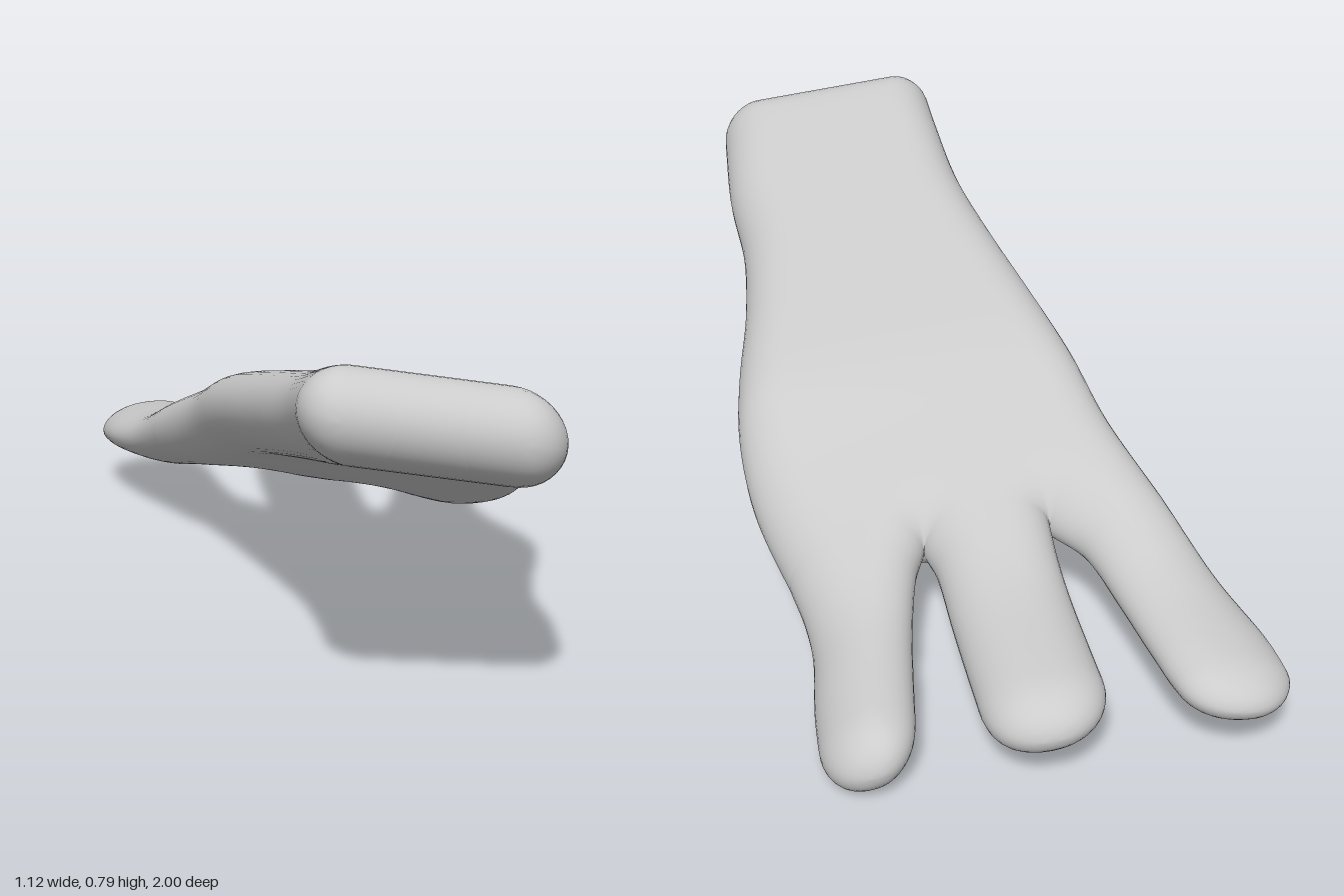
import * as THREE from 'three';
import { mergeVertices } from 'three/addons/utils/BufferGeometryUtils.js';

const WEB = -0.4;    // z of the webs between the fingers
const FRONT = 1;     // z of the wrist end
const COLS = 18;     // columns per finger
const ROUND = 0.115; // width of the rounded rim

// Smooth curve through [z, value] points, read at z
function curve(points) {
  const n = points.length;
  const slope = points.map((p, i) => {
    const a = points[Math.max(i - 1, 0)], b = points[Math.min(i + 1, n - 1)];
    return (b[1] - a[1]) / (b[0] - a[0]);
  });
  return (z) => {
    if (z <= points[0][0]) return points[0][1];
    if (z >= points[n - 1][0]) return points[n - 1][1];
    let i = 0;
    while (z > points[i + 1][0]) i++;
    const [z0, v0] = points[i], [z1, v1] = points[i + 1];
    const h = z1 - z0, t = (z - z0) / h, t2 = t * t, t3 = t2 * t;
    return v0 * (2 * t3 - 3 * t2 + 1) + slope[i] * h * (t3 - 2 * t2 + t)
      + v1 * (3 * t2 - 2 * t3) + slope[i + 1] * h * (t3 - t2);
  };
}

// 0..1 in steps that crowd towards both ends
const eased = (i, n) => (1 - Math.cos((Math.PI * i) / n)) / 2;
const clamp01 = (v) => Math.min(1, Math.max(0, v));

// Finger outlines: tip z, tip centre x, left and right edges over z
const fingers = [
  { tip: -0.97, x: -0.435,
    l: [[-0.87, -0.562], [-0.75, -0.53], [-0.6, -0.465], [-0.4, -0.38]],
    r: [[-0.87, -0.30], [-0.75, -0.27], [-0.6, -0.23], [-0.47, -0.18], [-0.4, -0.115]] },
  { tip: -1, x: -0.025,
    l: [[-0.87, -0.157], [-0.7, -0.14], [-0.5, -0.12], [-0.4, -0.115]],
    r: [[-0.9, 0.108], [-0.8, 0.117], [-0.6, 0.135], [-0.46, 0.15], [-0.4, 0.17]] },
  { tip: -0.98, x: 0.335,
    l: [[-0.87, 0.245], [-0.75, 0.235], [-0.6, 0.22], [-0.46, 0.195], [-0.4, 0.17]],
    r: [[-0.87, 0.45], [-0.75, 0.45], [-0.6, 0.44], [-0.5, 0.45], [-0.4, 0.475]] },
];

// Palm and wrist edges over z
const palmL = curve([[-0.4, -0.38], [-0.2, -0.29], [0, -0.23], [0.2, -0.165], [0.4, -0.1],
  [0.6, -0.045], [0.8, -0.015], [0.95, 0]]);
const palmR = curve([[-0.4, 0.475], [-0.2, 0.54], [-0.05, 0.56], [0.1, 0.55], [0.3, 0.52],
  [0.5, 0.51], [0.7, 0.53], [0.9, 0.53]]);

// Mid-surface: height at x = 0, sideways tilt and sideways arch over z
const height = curve([[-1, 0.155], [-0.85, 0.167], [-0.6, 0.195], [-0.4, 0.255], [-0.2, 0.335],
  [0, 0.425], [0.3, 0.52], [0.6, 0.607], [0.9, 0.697], [1, 0.707]]);
const tilt = curve([[-0.85, 0.12], [-0.6, 0.12], [-0.4, 0.14], [-0.2, 0.15], [0, 0.13]]);
const arch = curve([[-0.85, 0.25], [-0.6, 0.2], [-0.4, 0.12], [-0.2, 0.05], [0, 0]]);

// Half thickness over z, and how much it grows towards the right finger
const half = curve([[-1, 0.076], [-0.6, 0.081], [-0.3, 0.095], [0.3, 0.1], [0.9, 0.104]]);
const swell = curve([[-0.7, 0.03], [-0.3, 0]]);

// Rows of [x, z] from the rounded tip to the web
function fingerRows({ tip, x, l, r }) {
  const left = curve(l), right = curve(r), cap = 0.135, rows = [], n = 34;
  for (let i = 0; i <= n; i++) {
    const z = tip + (WEB - tip) * eased(i, n);
    const u = clamp01(1 - (z - tip) / cap);
    const k = Math.pow(1 - Math.pow(u, 2.15), 1 / 2.15);
    const a = x + (left(z) - x) * k, b = x + (right(z) - x) * k;
    rows.push(Array.from({ length: COLS + 1 }, (_, j) => [a + (b - a) * eased(j, COLS), z]));
  }
  return rows;
}

// Rows from the webs to the rounded wrist end, continuing the finger columns
function palmRows(webRow) {
  const a0 = webRow[0][0], w0 = webRow[webRow.length - 1][0] - a0;
  const rows = [webRow], n = 60, corner = 0.09;
  for (let i = 1; i <= n; i++) {
    const z = WEB + (FRONT - WEB) * eased(i, n);
    const u = clamp01(1 - (FRONT - z) / corner);
    const inset = corner * (1 - Math.sqrt(1 - u * u));
    const a = palmL(z) + inset, b = palmR(z) - inset;
    rows.push(webRow.map(([x]) => [a + ((b - a) * (x - a0)) / w0, z]));
  }
  return rows;
}

// Distance from a point to the whole outline
function outlineDistance(x, z, lines) {
  let best = Infinity;
  for (const line of lines) {
    for (let i = 0; i < line.length - 1; i++) {
      const [ax, az] = line[i], dx = line[i + 1][0] - ax, dz = line[i + 1][1] - az;
      const len = dx * dx + dz * dz;
      const t = len > 0 ? clamp01(((x - ax) * dx + (z - az) * dz) / len) : 0;
      best = Math.min(best, Math.hypot(x - ax - t * dx, z - az - t * dz));
    }
  }
  return best < 1e-7 ? 0 : best;
}

export function createModel() {
  const grids = fingers.map(fingerRows);
  const webRow = grids.flatMap((g, i) => g[g.length - 1].slice(i ? 1 : 0));
  const palm = palmRows(webRow);
  grids.push(palm);

  // Side edges of every grid plus the wrist end
  const outline = grids.flatMap((g) => [g.map((row) => row[0]), g.map((row) => row[row.length - 1])]);
  outline.push(palm[palm.length - 1]);

  // Top and bottom skins, rounded towards the outline
  const pos = [], index = [];
  for (const grid of grids) {
    const w = grid[0].length;
    for (const side of [1, -1]) {
      const base = pos.length / 3;
      for (const [x, z] of grid.flat()) {
        const e = 1 - clamp01(outlineDistance(x, z, outline) / ROUND);
        const mid = height(z) - tilt(z) * x - arch(z) * x * x;
        pos.push(x, mid + side * (half(z) + swell(z) * x) * Math.sqrt(1 - e * e), z);
      }
      for (let i = 0; i < grid.length - 1; i++) {
        for (let j = 0; j < w - 1; j++) {
          const a = base + i * w + j, b = a + w, c = a + 1, d = b + 1;
          if (side > 0) index.push(a, b, c, c, b, d);
          else index.push(a, c, b, c, d, b);
        }
      }
    }
  }
  let geometry = new THREE.BufferGeometry();
  geometry.setAttribute('position', new THREE.Float32BufferAttribute(pos, 3));
  geometry.setIndex(index);
  geometry = mergeVertices(geometry, 1e-5);
  geometry.computeBoundingBox();
  geometry.translate(0, -geometry.boundingBox.min.y, 0);
  geometry.computeVertexNormals();

  const hand = new THREE.Mesh(geometry, new THREE.MeshStandardMaterial({ color: 0xcccccc }));
  hand.name = 'threeFingeredHand';
  const group = new THREE.Group();
  group.name = 'hand';
  group.add(hand);
  return group;
}
